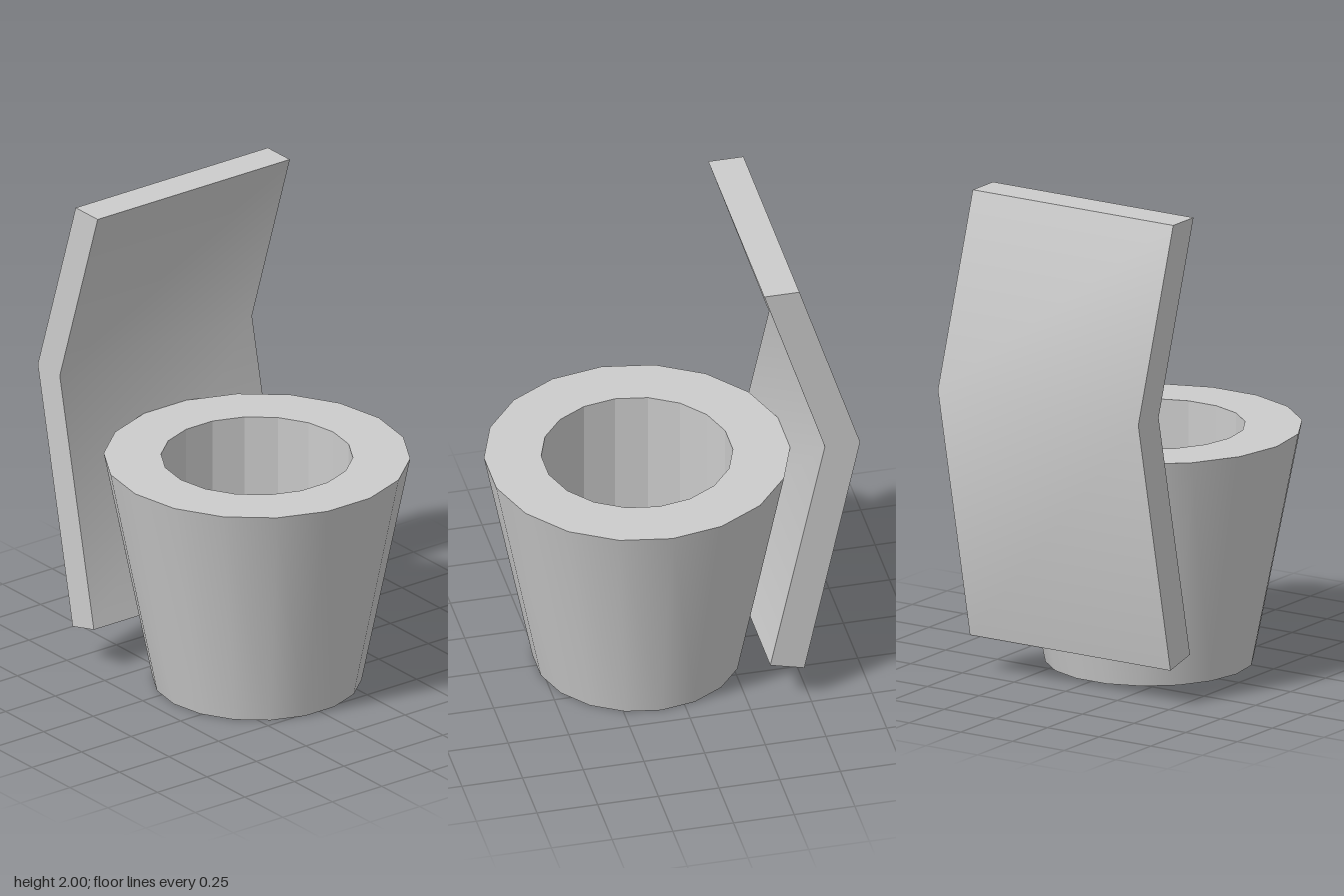
import * as THREE from 'three';
import { toCreasedNormals } from 'three/addons/utils/BufferGeometryUtils.js';

const SIDES = 18;

// Round solid with a corner of the polygon on the x axis
function lathe(profile) {
  const points = profile.map(([r, y]) => new THREE.Vector2(r, y));
  return new THREE.LatheGeometry(points, SIDES, Math.PI / SIDES);
}

export function createModel() {
  const model = new THREE.Group();
  const material = new THREE.MeshStandardMaterial({ color: 0xcccccc });
  const faceted = new THREE.MeshStandardMaterial({ color: 0xcccccc, flatShading: true });

  const add = (name, geometry, mat, parent) => {
    const mesh = new THREE.Mesh(geometry, mat);
    mesh.name = name;
    parent.add(mesh);
    return mesh;
  };

  // Tapered tub: base, flared wall and flat rim, then the straight well
  const tub = new THREE.Group();
  tub.name = 'tub';
  tub.position.z = 0.1;
  model.add(tub);
  const shell = lathe([[0, 0], [0.42, 0], [0.615, 0.975], [0.385, 0.975]]);
  add('tubShell', toCreasedNormals(shell, 0.6), material, tub);
  add('tubWell', lathe([[0.385, 0.975], [0.385, 0.2], [0, 0.2]]), faceted, tub);

  // Bent back panel: side profile (z, y) extruded across x
  const profile = new THREE.Shape([
    [-0.335, 0.19], [-0.56, 1.225], [-0.31, 2],
    [-0.455, 2], [-0.705, 1.225], [-0.475, 0.155],
  ].map(([z, y]) => new THREE.Vector2(z, y)));
  const panel = new THREE.ExtrudeGeometry(profile, { depth: 0.97, bevelEnabled: false });
  panel.rotateY(-Math.PI / 2).translate(0.48, 0, 0);
  add('backPanel', toCreasedNormals(panel, 0.6), material, model);

  return model;
}
